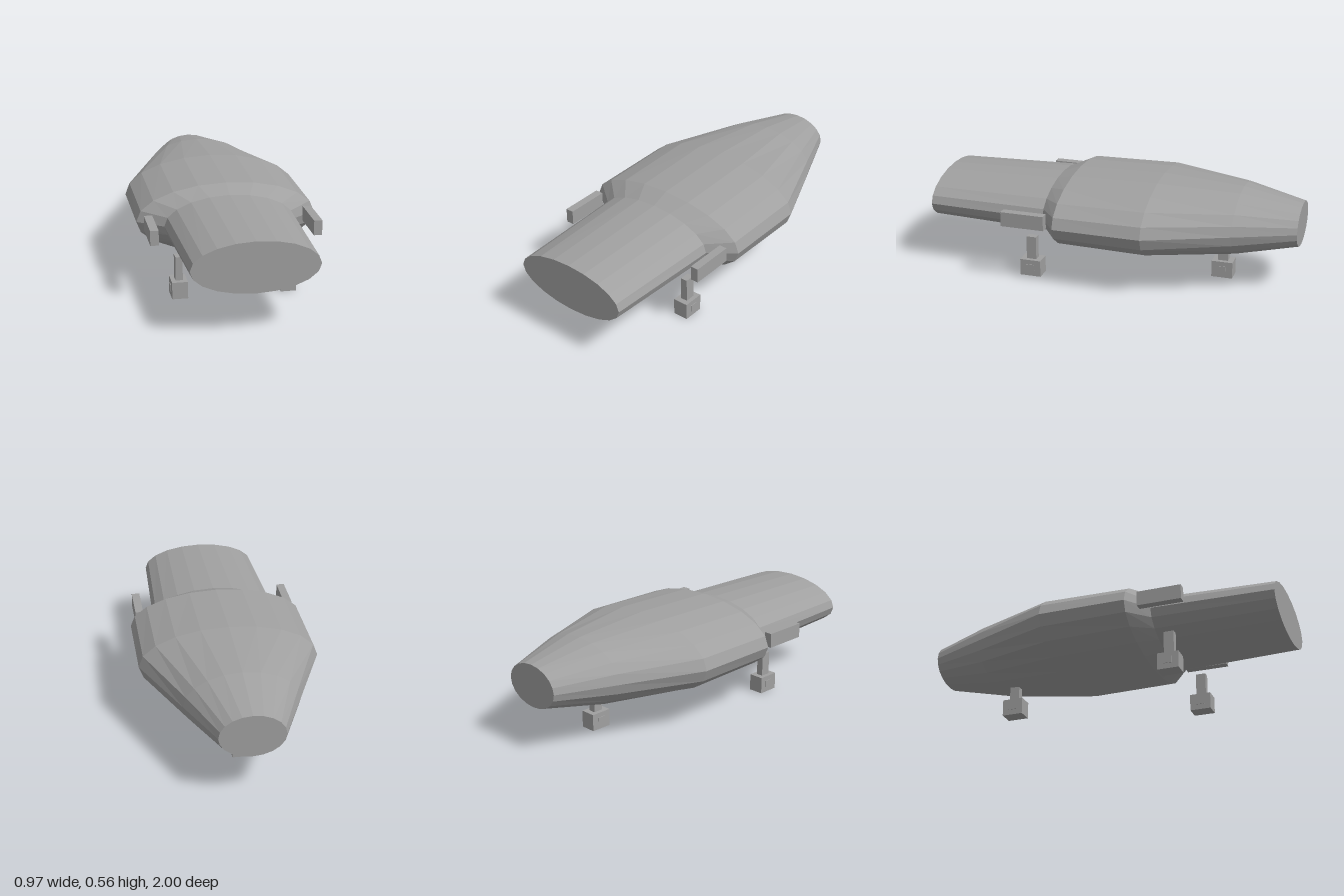
import * as THREE from 'three';

const SIDES = 20;
const CENTRE_Y = 0.354;

// Hull stations, rear to front: z, half width, half height
const STATIONS = [
  [-1, 0.17, 0.115],
  [-0.68, 0.302, 0.176],
  [-0.24, 0.483, 0.204],
  [0.24, 0.483, 0.191],
  [0.34, 0.348, 0.153],
  [1, 0.325, 0.134],
];

// Loft of elliptical rings closed by flat end caps
function loftHull() {
  const pos = [];
  const point = ([z, a, b], i) => {
    const t = (i / SIDES) * Math.PI * 2;
    return [a * Math.cos(t), CENTRE_Y + b * Math.sin(t), z];
  };
  const tri = (...corners) => corners.forEach((c) => pos.push(...c));
  const first = STATIONS[0];
  const last = STATIONS[STATIONS.length - 1];
  for (let i = 0; i < SIDES; i++) {
    for (let s = 0; s < STATIONS.length - 1; s++) {
      const a = point(STATIONS[s], i), b = point(STATIONS[s], i + 1);
      const c = point(STATIONS[s + 1], i + 1), d = point(STATIONS[s + 1], i);
      tri(a, b, c);
      tri(a, c, d);
    }
    tri([0, CENTRE_Y, last[0]], point(last, i), point(last, i + 1));
    tri([0, CENTRE_Y, first[0]], point(first, i + 1), point(first, i));
  }
  const geo = new THREE.BufferGeometry();
  geo.setAttribute('position', new THREE.Float32BufferAttribute(pos, 3));
  geo.computeVertexNormals();
  return geo;
}

export function createModel() {
  const model = new THREE.Group();
  model.name = 'spacecraft';
  const grey = new THREE.MeshStandardMaterial({ color: 0xa0a0a0, flatShading: true });
  grey.name = 'hull grey';

  const addBox = (parent, name, w, h, d, x, y, z) => {
    const mesh = new THREE.Mesh(new THREE.BoxGeometry(w, h, d), grey);
    mesh.name = name;
    mesh.position.set(x, y, z);
    parent.add(mesh);
  };

  const hull = new THREE.Mesh(loftHull(), grey);
  hull.name = 'hull';
  model.add(hull);

  // Side pods
  for (const side of [1, -1]) {
    addBox(model, side > 0 ? 'leftPod' : 'rightPod', 0.044, 0.08, 0.24, side * 0.428, 0.366, 0.42);
  }

  // Landing gear: strut, block foot and a small axle showing on both sides
  const legs = [['leftLeg', 0.29, 0.425], ['rightLeg', -0.29, 0.425], ['rearLeg', 0, -0.58]];
  for (const [name, x, z] of legs) {
    const leg = new THREE.Group();
    leg.name = name;
    leg.position.set(x, 0, z);
    addBox(leg, 'strut', 0.038, 0.135, 0.055, 0, 0.1535, 0);
    addBox(leg, 'foot', 0.084, 0.092, 0.116, 0, 0.046, 0);
    addBox(leg, 'axle', 0.091, 0.036, 0.045, 0, 0.048, 0);
    model.add(leg);
  }
  return model;
}
